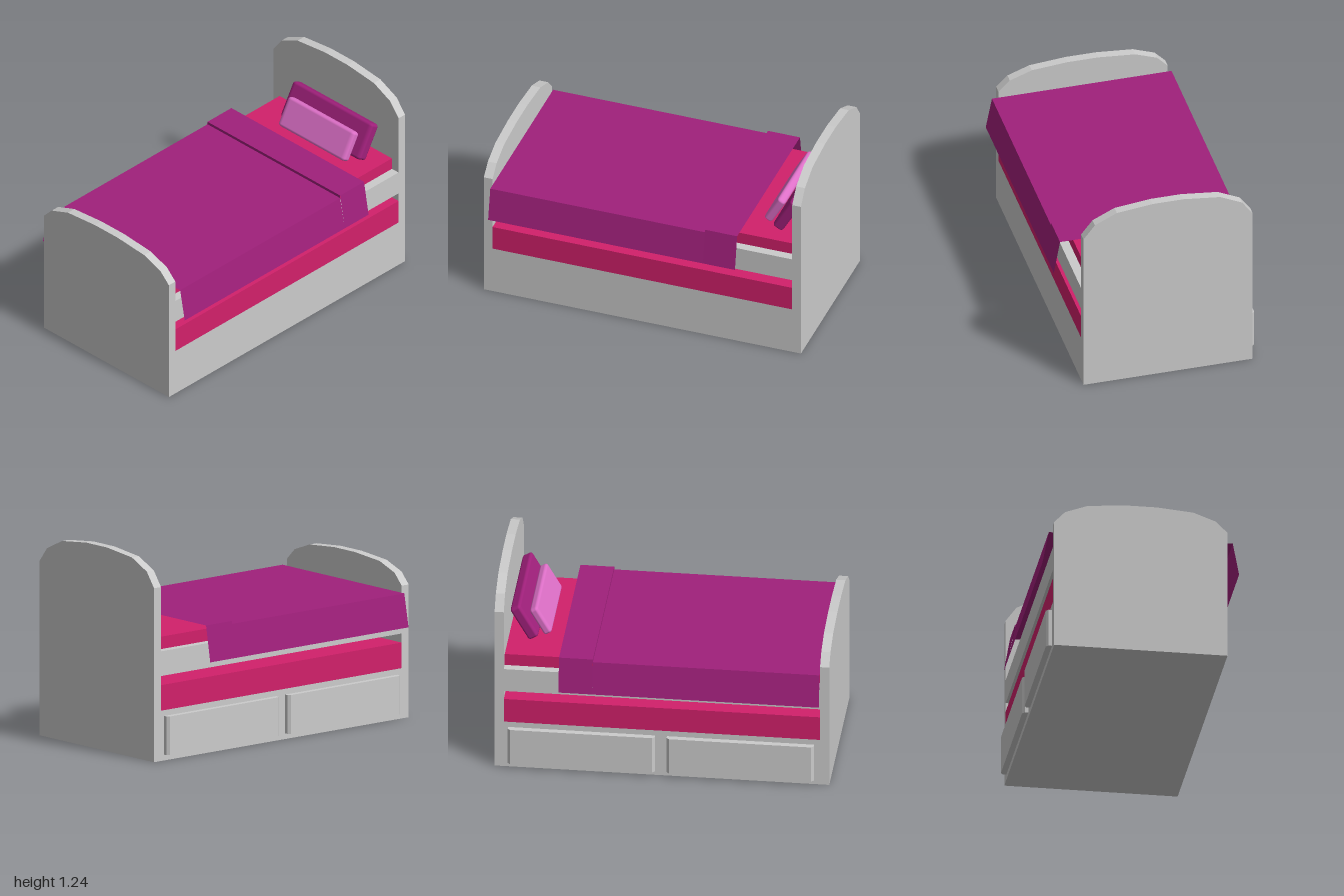
import * as THREE from 'three';
import { RoundedBoxGeometry } from 'three/addons/geometries/RoundedBoxGeometry.js';

const material = (color, extra = {}) => new THREE.MeshStandardMaterial({ color, ...extra });

export function createModel() {
  const bed = new THREE.Group();
  bed.name = 'bed';
  const grey = material(0xcccccc);
  const pink = material(0xd2206b);
  const purple = material(0xa0207b);
  const lilac = material(0xde70c8);
  const sheet = material(0xa0207b, { side: THREE.DoubleSide, flatShading: true });

  function add(name, geometry, mat) {
    const mesh = new THREE.Mesh(geometry, mat);
    mesh.name = name;
    bed.add(mesh);
    return mesh;
  }

  // Box given by its extents along each axis
  function block(name, [x0, x1], [y0, y1], [z0, z1], mat) {
    const mesh = add(name, new THREE.BoxGeometry(x1 - x0, y1 - y0, z1 - z0), mat);
    mesh.position.set((x0 + x1) / 2, (y0 + y1) / 2, (z0 + z1) / 2);
  }

  const outline = (points) => new THREE.Shape(points.map(([x, y]) => new THREE.Vector2(x, y)));

  // Arched end boards; the footboard is a lower copy of the headboard
  const arch = [[-0.53, 0], [0.51, 0], [0.51, 1.055], [0.44, 1.145], [0.305, 1.21],
    [0.085, 1.235], [-0.105, 1.235], [-0.33, 1.21], [-0.465, 1.145], [-0.53, 1.055]];
  for (const [name, z, scale] of [['headboard', -1, 1], ['footboard', 0.945, 0.763]]) {
    const board = new THREE.ExtrudeGeometry(outline(arch.map(([x, y]) => [x, y * scale])),
      { depth: 0.055, bevelEnabled: false });
    add(name, board, grey).position.z = z;
  }

  // Base, pull-out mattress, bed deck and main mattress
  const width = [-0.53, 0.51];
  const length = [-0.945, 0.945];
  block('lowerBase', width, [0, 0.305], length, grey);
  block('lowerMattress', width, [0.305, 0.46], length, pink);
  block('bedDeck', width, [0.515, 0.665], length, grey);
  block('mainMattress', [-0.48, 0.455], [0.665, 0.74], length, pink);

  // Drawer fronts with chamfered ends, on one side only
  for (const [z0, z1] of [[-0.92, -0.04], [0.03, 0.91]]) {
    const c = 0.015;
    const plan = outline([[-0.53, -z0], [-0.55, -z0], [-0.565, -z0 - c],
      [-0.565, -z1 + c], [-0.55, -z1], [-0.53, -z1]]);
    const front = new THREE.ExtrudeGeometry(plan, { depth: 0.235, bevelEnabled: false });
    front.rotateX(-Math.PI / 2);
    add('drawerFront', front, grey).position.y = 0.035;
  }

  // Thin draped sheet: one cross-section swept along z
  function drape(name, profile, z0, z1) {
    const positions = [];
    for (let i = 0; i < profile.length - 1; i++) {
      const [[ax, ay], [bx, by]] = [profile[i], profile[i + 1]];
      positions.push(ax, ay, z0, ax, ay, z1, bx, by, z1, ax, ay, z0, bx, by, z1, bx, by, z0);
    }
    const geometry = new THREE.BufferGeometry();
    geometry.setAttribute('position', new THREE.Float32BufferAttribute(positions, 3));
    geometry.computeVertexNormals();
    add(name, geometry, sheet);
  }
  const hang = (top) => [[-0.592, 0.562], [-0.554, top], [0.55, top], [0.588, 0.562]];
  drape('blanket', hang(0.762), -0.41, 0.945);
  drape('blanketFold', hang(0.78), -0.612, -0.41);

  // Step between the blanket and its turned-back fold
  const step = add('foldEdge', new THREE.PlaneGeometry(1.104, 0.018), sheet);
  step.position.set(-0.002, 0.771, -0.41);

  // Pillows leaning back towards the headboard
  function pillow(name, w, h, d, x, y, z, mat) {
    const stretch = 1.6; // longer rounding at the two ends
    const geometry = new RoundedBoxGeometry(w / stretch, h, d, 2, 0.018);
    geometry.scale(stretch, 1, 1);
    const mesh = add(name, geometry, mat);
    mesh.position.set(x, y, z);
    mesh.rotation.x = -Math.PI / 6;
  }
  pillow('largePillow', 0.665, 0.235, 0.07, 0.028, 0.853, -0.85, purple);
  pillow('smallPillow', 0.555, 0.19, 0.055, 0.028, 0.838, -0.758, lilac);

  return bed;
}
